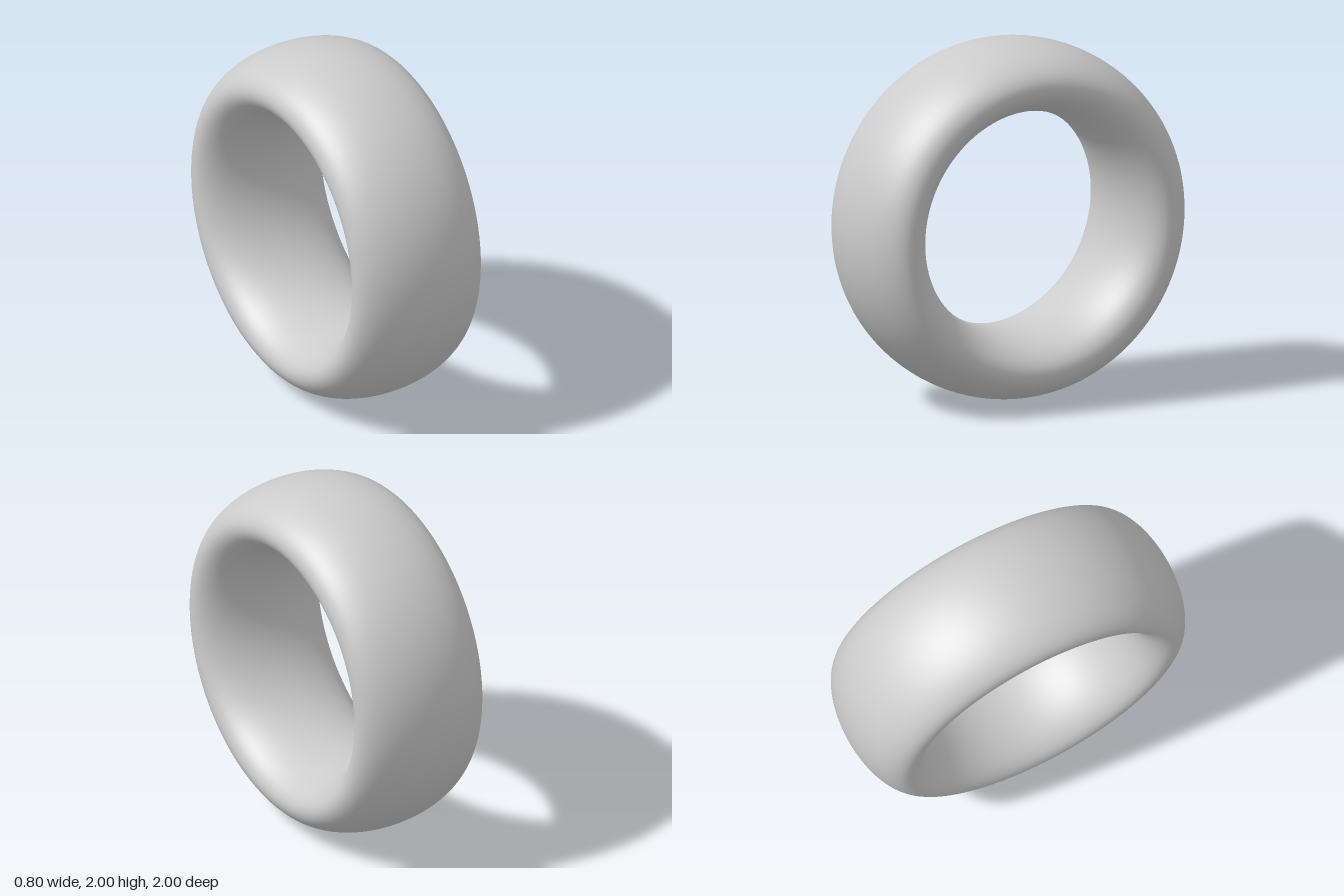
import * as THREE from 'three';

export function createModel() {
  const group = new THREE.Group();
  group.name = 'ringModel';

  const outer = 1, inner = 0.615, halfWidth = 0.4;
  const thickness = (outer - inner) / 2;

  // Smooth ring: a torus stretched along its axis into an elliptical section
  const geometry = new THREE.TorusGeometry((outer + inner) / 2, thickness, 64, 160);
  geometry.scale(1, 1, halfWidth / thickness);
  geometry.rotateY(Math.PI / 2);

  const ring = new THREE.Mesh(geometry, new THREE.MeshStandardMaterial({ color: 0xcccccc }));
  ring.name = 'ring';
  ring.position.y = outer;
  group.add(ring);
  return group;
}
